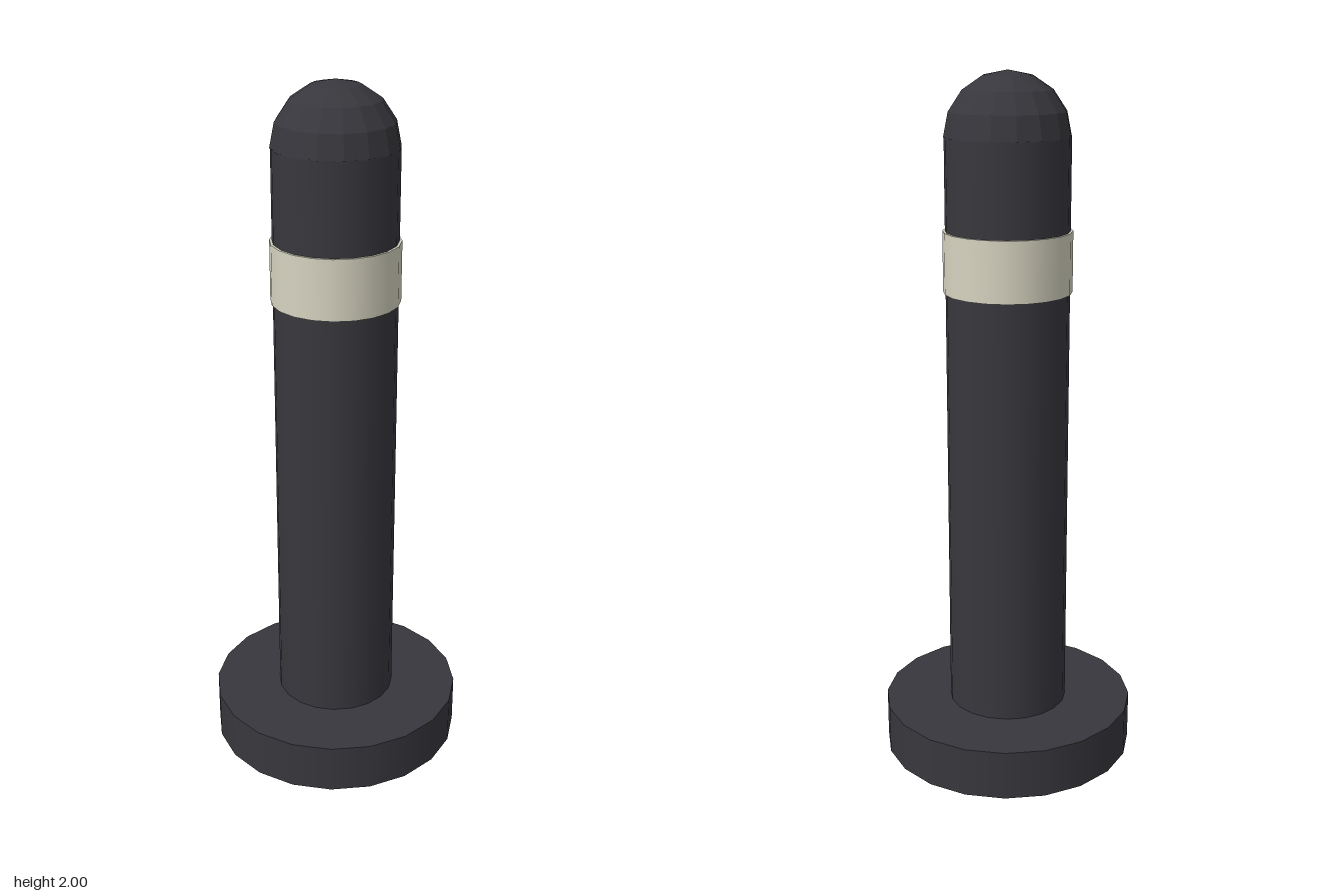
import * as THREE from 'three';

export function createModel() {
  const model = new THREE.Group();
  model.name = 'bollard';

  const charcoal = new THREE.MeshStandardMaterial({ color: 0x38373d });
  charcoal.name = 'charcoal';
  const cream = new THREE.MeshStandardMaterial({ color: 0xd6d3c0 });
  cream.name = 'cream';
  const facetedCharcoal = charcoal.clone();
  facetedCharcoal.name = 'charcoalFaceted';
  facetedCharcoal.flatShading = true;

  const add = (name, geometry, material, y) => {
    const mesh = new THREE.Mesh(geometry, material);
    mesh.name = name;
    mesh.position.y = y;
    model.add(mesh);
  };

  // Upright cylinder between two heights
  const drum = (name, radius, bottom, top, material) =>
    add(name, new THREE.CylinderGeometry(radius, radius, top - bottom, 20), material, (bottom + top) / 2);

  drum('base', 0.37, 0, 0.145, charcoal);
  drum('post', 0.175, 0.145, 1.825, charcoal);
  drum('reflectiveBand', 0.182, 1.395, 1.567, cream);

  // Faceted half-sphere cap
  const dome = new THREE.SphereGeometry(0.177, 16, 4, 0, Math.PI * 2, 0, Math.PI / 2);
  add('domeCap', dome, facetedCharcoal, 1.823);

  return model;
}
